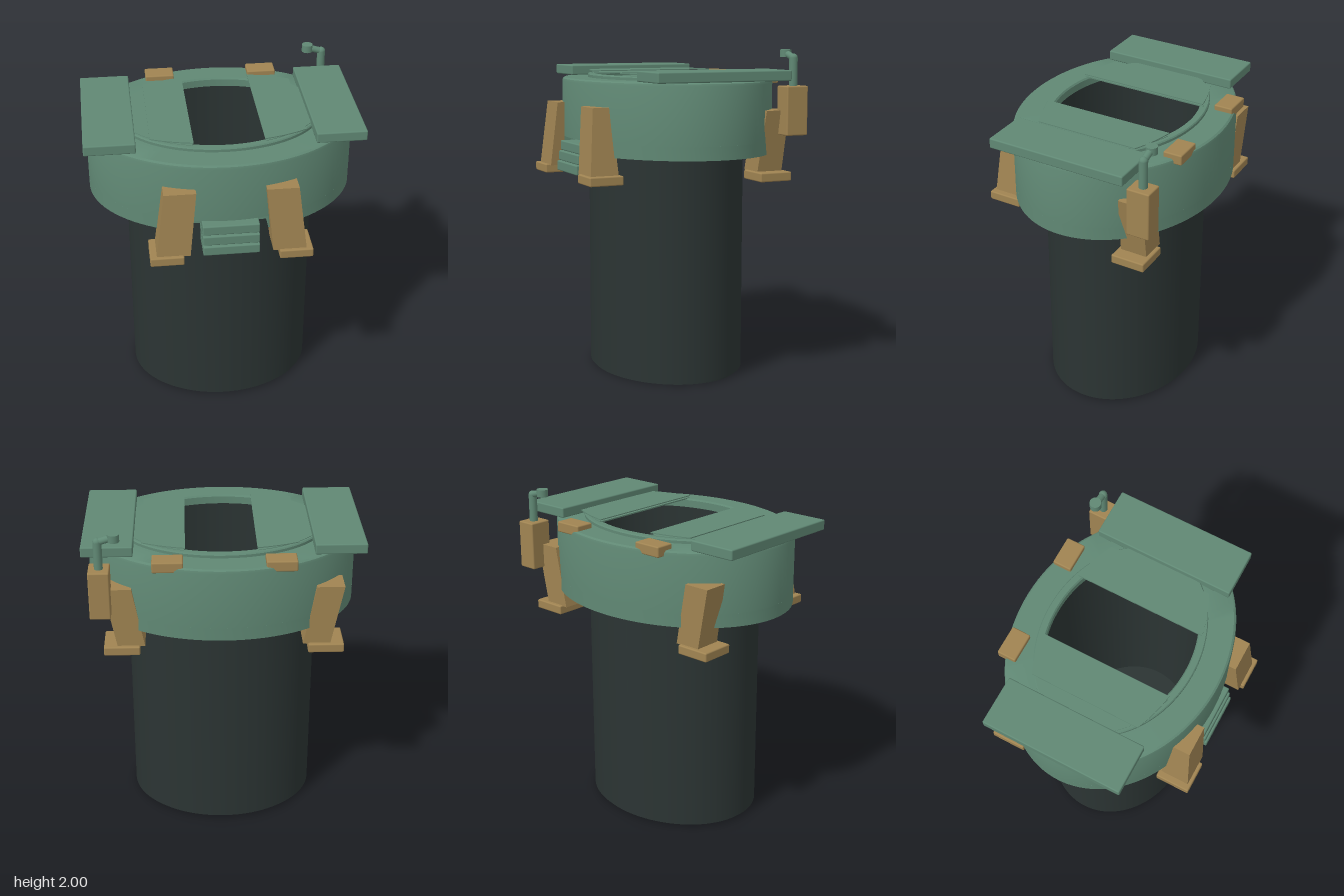
import * as THREE from 'three';
import { toCreasedNormals } from 'three/addons/utils/BufferGeometryUtils.js';
import { RoundedBoxGeometry } from 'three/addons/geometries/RoundedBoxGeometry.js';

const CZ = -0.04; // z of the shaft axis

const mat = (name, color) => {
  const m = new THREE.MeshStandardMaterial({ color });
  m.name = name;
  return m;
};

// Box given by its limits on each axis, with slightly softened edges
function block([x0, x1], [y0, y1], [z0, z1], r = 0.008) {
  const g = new RoundedBoxGeometry(x1 - x0, y1 - y0, z1 - z0, 2, r);
  return g.translate((x0 + x1) / 2, (y0 + y1) / 2, (z0 + z1) / 2);
}

// Box whose bottom and top rectangles differ: each is [x0, x1, z0, z1]
function taper(y0, y1, bottom, top) {
  const g = new THREE.BoxGeometry(1, 1, 1);
  const p = g.attributes.position;
  for (let i = 0; i < p.count; i++) {
    const r = p.getY(i) > 0 ? top : bottom;
    p.setXYZ(i, r[p.getX(i) > 0 ? 1 : 0], p.getY(i) > 0 ? y1 : y0, r[p.getZ(i) > 0 ? 3 : 2]);
  }
  g.computeVertexNormals();
  return g;
}

// Oval body of revolution, squashed along z
function oval(profile, ratio) {
  const g = new THREE.LatheGeometry(profile.map(([r, y]) => new THREE.Vector2(r, y)), 96);
  g.scale(1, 1, ratio).translate(0, 0, CZ);
  return toCreasedNormals(g, 0.6);
}

// Flat outline in x and z, extruded downwards from its top
function slab(shape, top, depth) {
  const g = new THREE.ExtrudeGeometry(shape, { depth, bevelEnabled: false });
  return toCreasedNormals(g.rotateX(Math.PI / 2).translate(0, top, CZ), 0.6);
}

// Plate between x0 and x1 with ends curved along an ellipse
function lens(x0, x1, rx, rz) {
  const pts = [];
  for (const s of [-1, 1])
    for (let i = 0; i <= 12; i++) {
      const t = i / 12;
      const x = s < 0 ? x0 + (x1 - x0) * t : x1 + (x0 - x1) * t;
      pts.push(new THREE.Vector2(x, s * rz * Math.sqrt(1 - (x / rx) ** 2)));
    }
  return new THREE.Shape(pts);
}

export function createModel() {
  const green = mat('green paint', 0x608874);
  const tan = mat('tan paint', 0xa08452);
  const dark = mat('dark metal', 0x2b3433);
  const model = new THREE.Group();
  const add = (name, geometry, material) => {
    const m = new THREE.Mesh(geometry, material);
    m.name = name;
    model.add(m);
    return m;
  };

  // Hollow shaft with a closed floor
  add('shaft', oval([
    [0, 0], [0.552, 0], [0.552, 0.015], [0.57, 0.015], [0.57, 1.8],
    [0.55, 1.8], [0.55, 0.04], [0, 0.04],
  ], 0.807), dark);

  // Collar: upper ring, and lower ring with a notch at the front
  const ratio = 0.774;
  add('collarUpper', oval([
    [0.58, 1.46], [0.795, 1.46], [0.795, 1.8], [0.79, 1.814], [0.776, 1.822],
    [0.58, 1.822], [0.58, 1.46],
  ], ratio), green);
  const outline = [];
  const gap = Math.asin(0.22 / 0.795);
  for (let i = 0; i <= 96; i++) {
    const a = gap + (Math.PI * 2 - gap * 2) * i / 96;
    outline.push(new THREE.Vector2(Math.sin(a) * 0.795, Math.cos(a) * 0.795 * ratio));
  }
  outline.push(new THREE.Vector2(-0.22, 0.5), new THREE.Vector2(0.22, 0.5));
  const ring = new THREE.Shape(outline);
  ring.holes.push(new THREE.Path().absellipse(0, 0, 0.565, 0.455, 0, Math.PI * 2, true));
  const lower = new THREE.ExtrudeGeometry(ring, { depth: 0.08, bevelEnabled: false, curveSegments: 48 });
  add('collarLower', toCreasedNormals(lower.rotateX(Math.PI / 2).translate(0, 1.46, CZ), 0.6), green);

  // Raised lip round the opening
  add('openingLip', oval([
    [0.545, 1.79], [0.61, 1.79], [0.61, 1.838], [0.603, 1.845],
    [0.555, 1.845], [0.545, 1.835], [0.545, 1.79],
  ], 0.75), green);

  // Hatch: outer doors, sills and thin inner leaves
  add('rightDoor', block([-0.815, -0.518], [1.823, 1.885], [-0.47, 0.383]), green);
  add('leftDoor', block([0.515, 0.81], [1.823, 1.885], [-0.47, 0.383]), green);
  add('rightSill', slab(lens(-0.54, -0.195, 0.6, 0.43), 1.848, 0.008), green);
  add('leftSill', slab(lens(0.225, 0.54, 0.6, 0.43), 1.848, 0.008), green);
  add('rightLeaf', slab(lens(-0.435, -0.19, 0.72, 0.42), 1.863, 0.006), green);
  add('leftLeaf', slab(lens(0.22, 0.47, 0.72, 0.42), 1.863, 0.006), green);

  // Four sloping legs with feet, and two clips on the rear of the collar
  for (const s of [-1, 1]) {
    const side = s < 0 ? 'right' : 'left';
    const span = (a, b) => (s > 0 ? [a, b] : [-b, -a]);
    add(side + 'FrontLeg', taper(1.275, 1.67,
      [...span(0.24, 0.435), 0.46, 0.635], [...span(0.2, 0.385), 0.49, 0.6]), tan);
    add(side + 'FrontFoot', block(span(0.277, 0.473), [1.225, 1.28], [0.445, 0.655]), tan);
    add(side + 'RearLeg', taper(1.275, 1.645,
      [...span(0.46, 0.62), -0.52, -0.355], [...span(0.53, 0.69), -0.525, -0.375]), tan);
    add(side + 'RearFoot', block(span(0.49, 0.7), [1.225, 1.28], [-0.543, -0.335]), tan);
    add(side + 'RearClip', block(span(0.232, 0.408), [1.79, 1.853], [-0.615, -0.5]), tan);
  }

  // Stepped vent below the front notch
  for (let i = 0; i < 3; i++) {
    const y = 1.255 + i * 0.062;
    add('frontStep', block([-0.165, 0.165], [y, y + 0.06], [0.43, 0.622 - i * 0.012]), green);
  }

  // Equipment box with a bent periscope
  add('equipmentBox', block([0.645, 0.765], [1.5, 1.79], [-0.608, -0.468]), tan);
  const post = new THREE.CylinderGeometry(0.025, 0.025, 0.175, 20);
  add('periscopePost', post.translate(0.705, 1.868, -0.54), green);
  add('periscopeElbow', new THREE.SphereGeometry(0.025, 20, 12).translate(0.705, 1.952, -0.54), green);
  const arm = new THREE.TubeGeometry(new THREE.LineCurve3(
    new THREE.Vector3(0.705, 1.952, -0.54), new THREE.Vector3(0.615, 1.98, -0.54)), 1, 0.02, 20);
  add('periscopeArm', arm, green);
  const head = new THREE.CylinderGeometry(0.034, 0.034, 0.045, 24);
  add('periscopeHead', head.translate(0.615, 1.9775, -0.54), green);

  // Small control panel on the inner wall
  add('panelCase', block([-0.29, -0.21], [1.57, 1.65], [-0.44, -0.34], 0.005), green);
  add('panelFace', block([-0.28, -0.22], [1.58, 1.64], [-0.342, -0.334], 0.002), tan);

  return model;
}
